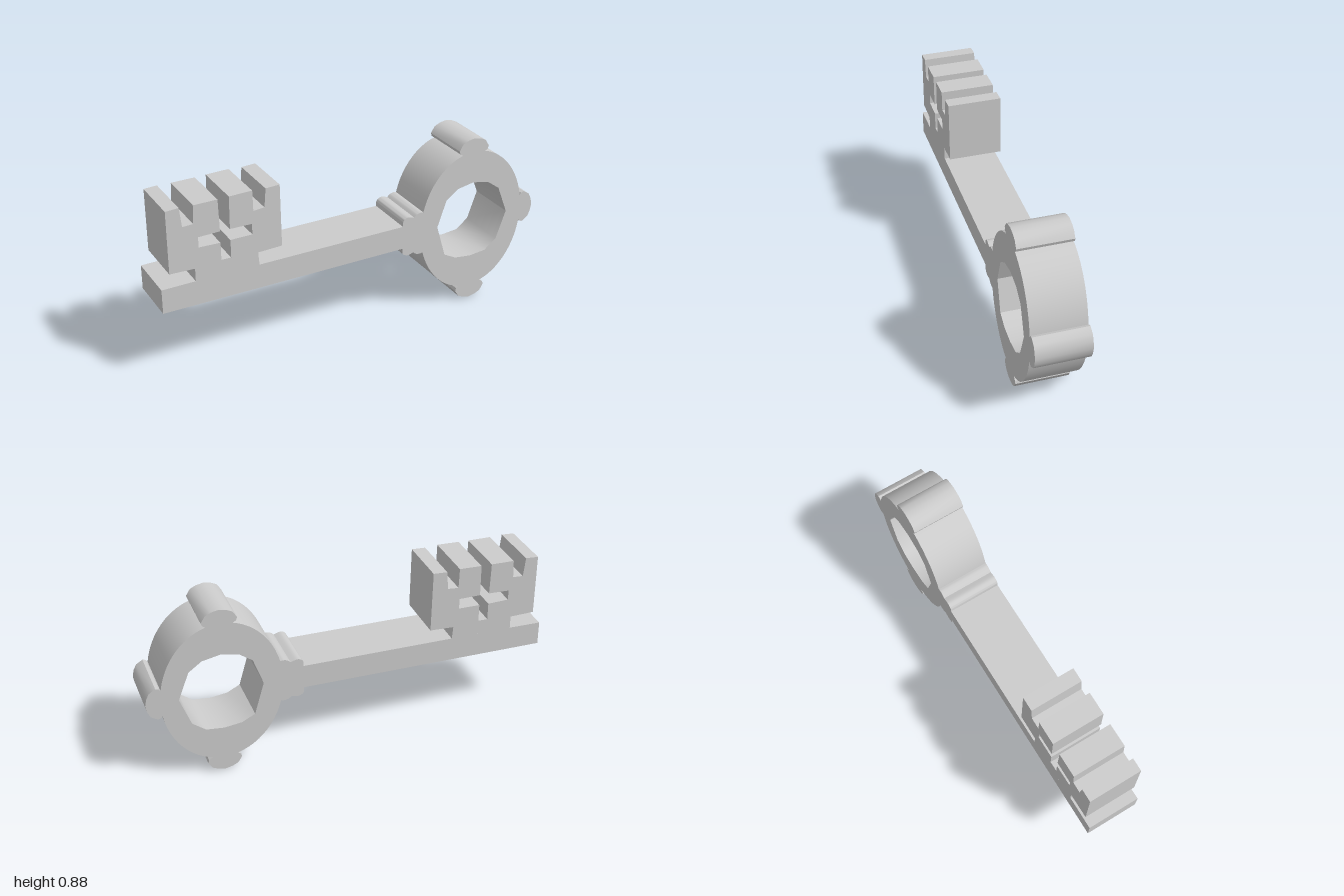
import * as THREE from 'three';
import { toCreasedNormals } from 'three/addons/utils/BufferGeometryUtils.js';

const DEPTH = 0.264;
const material = new THREE.MeshStandardMaterial({ color: 0xcccccc });
const toPoints = (list) => list.map(([x, y]) => new THREE.Vector2(x, y));

// Every part is a flat outline given the same thickness, centred on z = 0
function plate(name, shape, curveSegments = 12) {
  const geometry = new THREE.ExtrudeGeometry(shape, { depth: DEPTH, bevelEnabled: false, curveSegments });
  geometry.translate(0, 0, -DEPTH / 2);
  const mesh = new THREE.Mesh(toCreasedNormals(geometry, 0.6), material);
  mesh.name = name;
  return mesh;
}

export function createModel() {
  const key = new THREE.Group();
  key.name = 'key';

  // Tapering shank
  key.add(plate('shank', new THREE.Shape(toPoints([
    [-1, 0.358], [0.25, 0.377], [0.25, 0.497], [-0.52, 0.486], [-0.836, 0.482], [-1, 0.478],
  ]))));

  // Toothed bit with a cross-shaped slot open at the top
  key.add(plate('bit', new THREE.Shape(toPoints([
    [-0.836, 0.482], [-0.522, 0.486], [-0.527, 0.55], [-0.406, 0.556],
    [-0.41, 0.866], [-0.48, 0.862], [-0.488, 0.77], [-0.543, 0.765], [-0.545, 0.866],
    [-0.658, 0.862], [-0.66, 0.702], [-0.552, 0.702], [-0.552, 0.649], [-0.66, 0.647],
    [-0.66, 0.558], [-0.708, 0.558], [-0.708, 0.645], [-0.813, 0.647], [-0.813, 0.698],
    [-0.708, 0.702], [-0.712, 0.86], [-0.828, 0.858], [-0.832, 0.768], [-0.884, 0.765],
    [-0.894, 0.86], [-0.958, 0.856], [-0.958, 0.548], [-0.836, 0.546],
  ]))));

  // Double-beaded collar joining shank and bow
  const collar = new THREE.Shape();
  collar.moveTo(0.24, 0.352);
  collar.splineThru(toPoints([[0.248, 0.342], [0.27, 0.334], [0.302, 0.342]]));
  collar.splineThru(toPoints([[0.32, 0.329], [0.35, 0.327], [0.372, 0.345]]));
  collar.lineTo(0.372, 0.537);
  collar.splineThru(toPoints([[0.35, 0.55], [0.322, 0.547], [0.303, 0.532]]));
  collar.splineThru(toPoints([[0.27, 0.541], [0.248, 0.533], [0.24, 0.52]]));
  key.add(plate('collar', collar, 3));

  // Oval bow with a faceted finger hole
  const bow = new THREE.Shape();
  bow.absellipse(0.635, 0.442, 0.294, 0.37, 0, Math.PI * 2, false);
  bow.holes.push(new THREE.Path(toPoints([
    [0.437, 0.447], [0.485, 0.583], [0.55, 0.63], [0.637, 0.647], [0.725, 0.63], [0.79, 0.583],
    [0.843, 0.444], [0.79, 0.3], [0.725, 0.25], [0.637, 0.24], [0.55, 0.25], [0.485, 0.283],
  ])));
  key.add(plate('bow', bow, 32));

  // Three rounded knobs around the bow
  const half = [[0.058, -0.04], [0.058, 0], [0.079, 0.014], [0.084, 0.03], [0.064, 0.062], [0.035, 0.076]];
  const mirrored = half.map(([x, y]) => [-x, y]).reverse();
  const knobShape = new THREE.Shape(toPoints([...half, [0, 0.083], ...mirrored]));
  const knobs = [
    ['topKnob', 0.633, 0.799, 0],
    ['leftKnob', 0.917, 0.446, -Math.PI / 2],
    ['bottomKnob', 0.643, 0.083, Math.PI],
  ];
  for (const [name, x, y, turn] of knobs) {
    const knob = plate(name, knobShape);
    knob.position.set(x, y, 0);
    knob.rotation.z = turn;
    key.add(knob);
  }
  return key;
}
